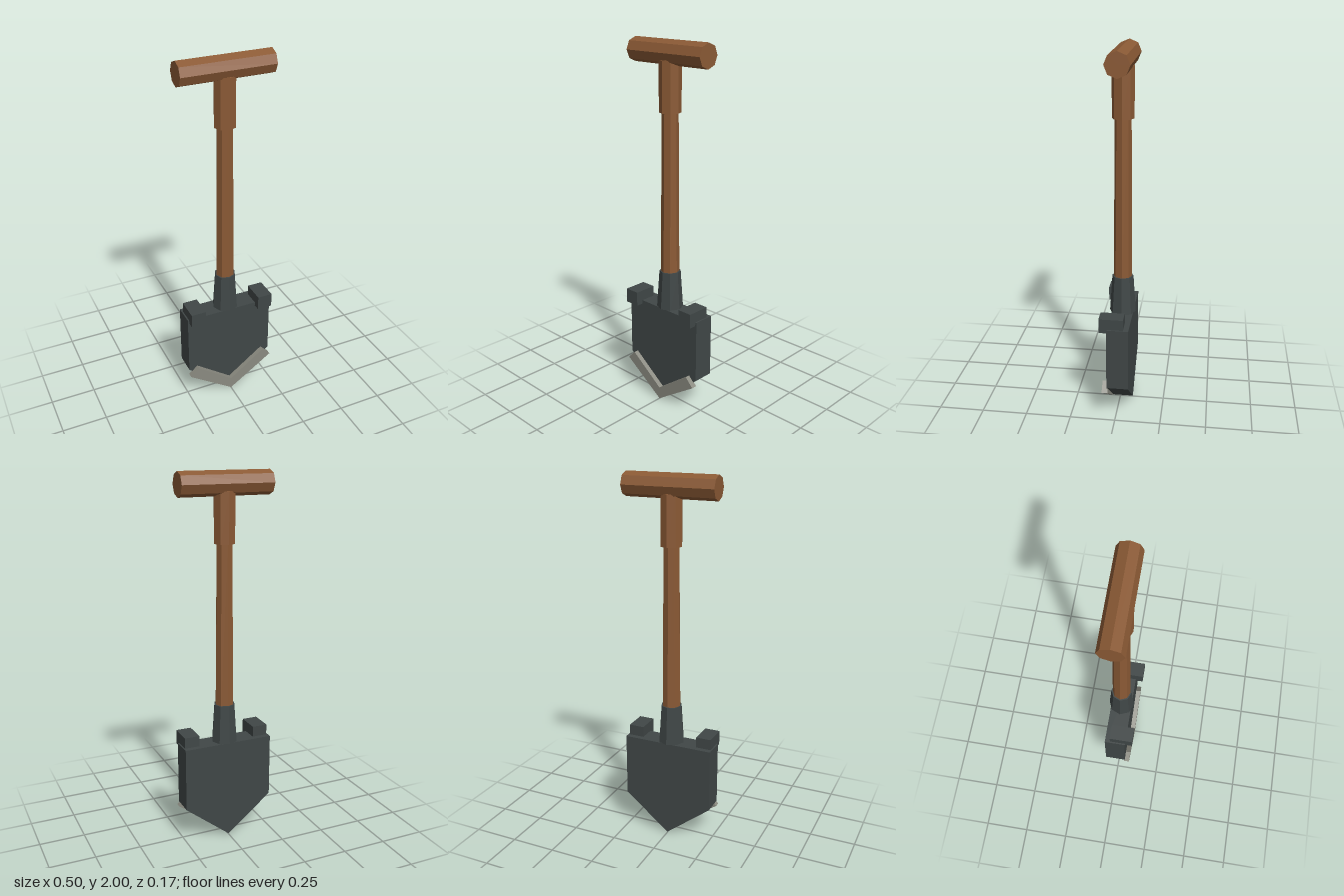
import * as THREE from 'three';

export function createModel() {
  const group = new THREE.Group();
  const material = (name, color) => {
    const m = new THREE.MeshStandardMaterial({ color, flatShading: true });
    m.name = name;
    return m;
  };
  const wood = material('wood', 0x8b5a35);
  const steel = material('dark steel', 0x404747);
  const bright = material('sharpened steel', 0x8a8a80);
  const axisZ = -0.014;

  const add = (name, geometry, mat, x = 0, y = 0, z = 0) => {
    const mesh = new THREE.Mesh(geometry, mat);
    mesh.name = name;
    mesh.position.set(x, y, z);
    group.add(mesh);
    return mesh;
  };
  // Eight-sided upright part spanning y0 to y1
  const post = (name, mat, rTop, rBottom, y0, y1) =>
    add(name, new THREE.CylinderGeometry(rTop, rBottom, y1 - y0, 8), mat, 0, (y0 + y1) / 2, axisZ);
  // Flat outline given thickness from z0 to z1
  const plate = (name, mat, points, z0, z1) => {
    const shape = new THREE.Shape(points.map(([x, y]) => new THREE.Vector2(x, y)));
    return add(name, new THREE.ExtrudeGeometry(shape, { depth: z1 - z0, bevelEnabled: false }), mat, 0, 0, z0);
  };

  // Wooden handle
  post('shaft', wood, 0.043, 0.051, 0.74, 1.66);
  post('gripSocket', wood, 0.058, 0.058, 1.637, 1.9);
  const grip = add('grip', new THREE.CylinderGeometry(0.0635, 0.0635, 0.504, 8), wood, 0, 1.9365, -0.0155);
  grip.rotation.z = Math.PI / 2;

  // Metal head
  post('collar', steel, 0.058, 0.072, 0.557, 0.77);
  plate('blade', steel, [[0, 0.003], [0.252, 0.205], [0.252, 0.557], [-0.252, 0.557], [-0.252, 0.205]], -0.073, 0.045);
  plate('cuttingEdge', bright,
    [[0, 0], [0.252, 0.172], [0.204, 0.221], [0, 0.07], [-0.204, 0.221], [-0.252, 0.172]], 0.04, 0.072);

  // Foot rests on the blade shoulders
  for (const side of [-1, 1]) {
    add(side > 0 ? 'leftFootRest' : 'rightFootRest',
      new THREE.BoxGeometry(0.084, 0.08, 0.13), steel, side * 0.202, 0.576, 0.021);
  }
  return group;
}
